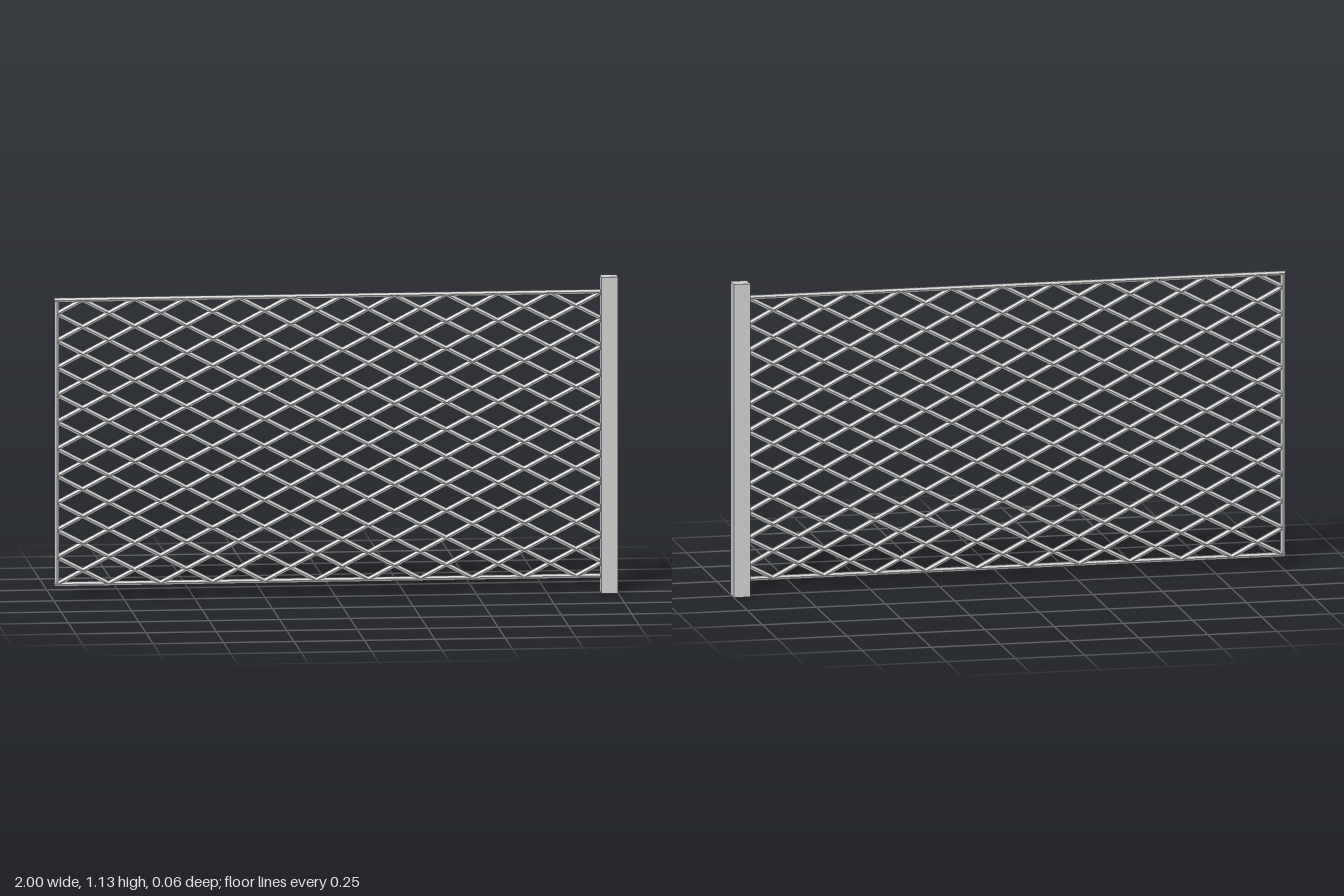
import * as THREE from 'three';

const LEFT = -0.99, RIGHT = 0.945;   // panel extents along bar centre lines
const BOTTOM = 0.06, TOP = 1.075;
const CELLS = 10.5;                  // lattice diamonds along each direction
const RADIUS = 0.0095;

export function createModel() {
  const group = new THREE.Group();
  const material = new THREE.MeshStandardMaterial({ color: 0xcccccc, flatShading: true });

  // Thin six-sided rod between two points in the panel plane
  const addRod = (name, x1, y1, x2, y2) => {
    const a = new THREE.Vector3(x1, y1, 0);
    const b = new THREE.Vector3(x2, y2, 0);
    const dir = b.clone().sub(a);
    const rod = new THREE.Mesh(new THREE.CylinderGeometry(RADIUS, RADIUS, dir.length(), 6), material);
    rod.name = name;
    rod.position.copy(a).lerp(b, 0.5);
    rod.quaternion.setFromUnitVectors(new THREE.Vector3(0, 1, 0), dir.normalize());
    group.add(rod);
  };

  // Square end post
  const post = new THREE.Mesh(new THREE.BoxGeometry(0.06, 1.13, 0.06), material);
  post.name = 'post';
  post.position.set(0.97, 0.565, 0);
  group.add(post);

  // Frame: two rails and the free end; the post closes the other side
  addRod('topRail', LEFT - RADIUS, TOP, RIGHT, TOP);
  addRod('bottomRail', LEFT - RADIUS, BOTTOM, RIGHT, BOTTOM);
  addRod('endBar', LEFT, BOTTOM, LEFT, TOP);

  // Diagonal lattice, laid out in cell units and clipped to the frame
  const px = u => LEFT + (RIGHT - LEFT) * u / CELLS;
  const py = v => BOTTOM + (TOP - BOTTOM) * v / CELLS;
  for (let k = -10; k <= 10; k++) {
    const u1 = Math.max(0, -k), u2 = Math.min(CELLS, CELLS - k);
    addRod('risingBar', px(u1), py(u1 + k), px(u2), py(u2 + k));
  }
  for (let c = 1; c <= 20; c++) {
    const u1 = Math.max(0, c - CELLS), u2 = Math.min(CELLS, c);
    addRod('fallingBar', px(u1), py(c - u1), px(u2), py(c - u2));
  }
  return group;
}
